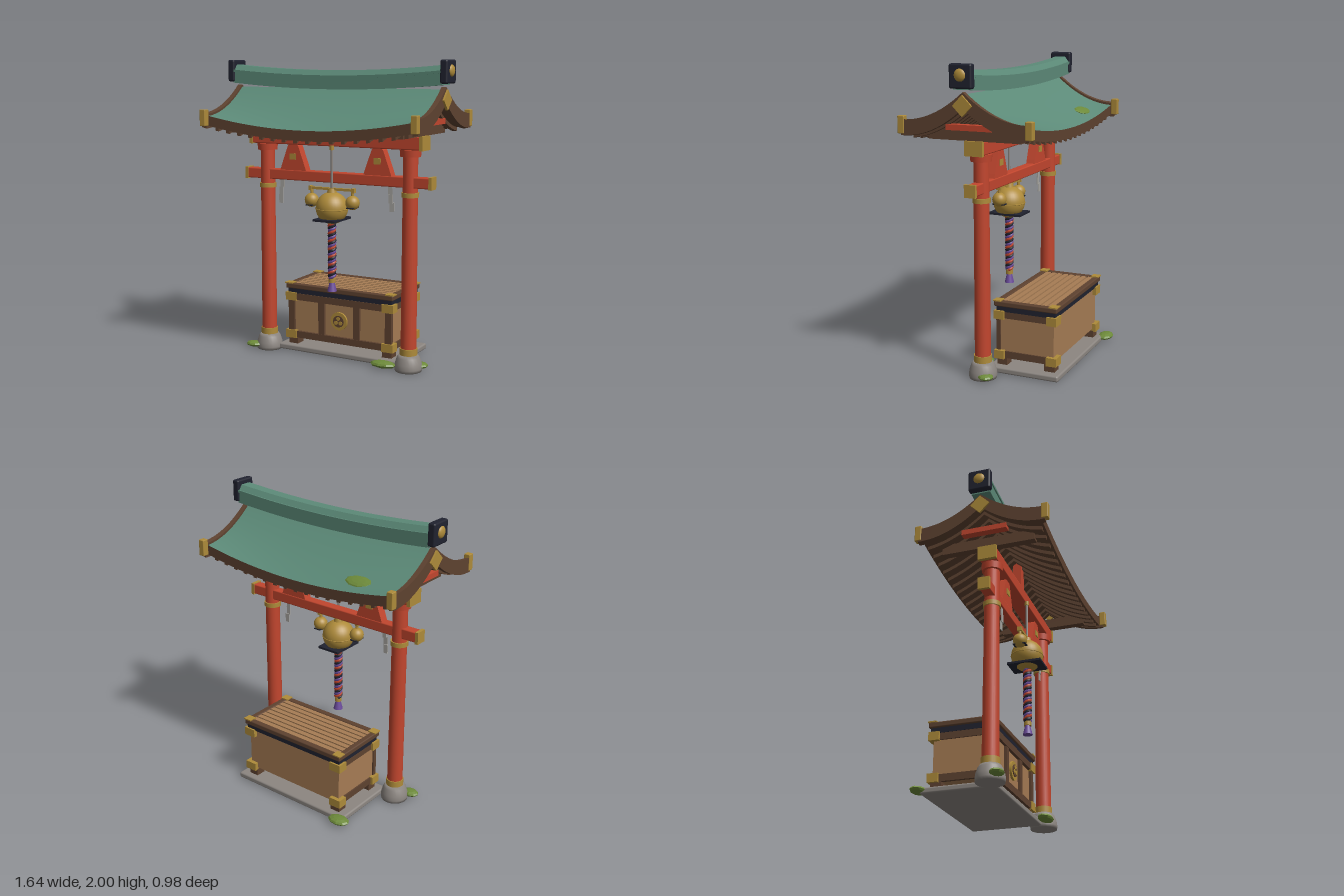
import * as THREE from 'three';
import { RoundedBoxGeometry } from 'three/addons/geometries/RoundedBoxGeometry.js';

const mat = (name, color) => {
  const m = new THREE.MeshStandardMaterial({ color });
  m.name = name;
  return m;
};

export function createModel() {
  const red = mat('vermilion', 0xc2462e), gold = mat('brass', 0xae8b3a), brown = mat('darkWood', 0x5e4230),
    tan = mat('lightWood', 0xa67c54), green = mat('roofGreen', 0x5c8a78), navy = mat('nearBlack', 0x20222f),
    stone = mat('stone', 0x8c8681), moss = mat('moss', 0x6d8a3a), purple = mat('purple', 0x6a4a9a),
    paper = mat('paper', 0xa9a7a2);
  moss.flatShading = true;

  const root = new THREE.Group();
  root.name = 'shrineGate';
  const Z = 0.05; // depth of the posts and ridge

  const group = (name, parent = root) => {
    const g = new THREE.Group();
    g.name = name;
    parent.add(g);
    return g;
  };
  const add = (parent, name, geo, material, x = 0, y = 0, z = 0) => {
    const m = new THREE.Mesh(geo, material);
    m.name = name;
    m.position.set(x, y, z);
    parent.add(m);
    return m;
  };
  const box = (parent, name, material, w, h, d, x, y, z) =>
    add(parent, name, new THREE.BoxGeometry(w, h, d), material, x, y, z);
  const soft = (parent, name, material, w, h, d, x, y, z, r = 0.008) =>
    add(parent, name, new RoundedBoxGeometry(w, h, d, 2, r), material, x, y, z);
  const cyl = (parent, name, material, rt, rb, h, x, y, z) =>
    add(parent, name, new THREE.CylinderGeometry(rt, rb, h, 24), material, x, y, z);

  // Posts with collars, rings and stone feet
  const footProfile = [[0, 0], [0.088, 0], [0.092, 0.02], [0.088, 0.05], [0.075, 0.09], [0.062, 0.108], [0, 0.108]]
    .map(p => new THREE.Vector2(...p));
  for (const s of [-1, 1]) {
    const g = group(s > 0 ? 'leftPost' : 'rightPost');
    g.position.set(s * 0.535, 0, Z);
    add(g, 'stoneFoot', new THREE.LatheGeometry(footProfile, 24), stone);
    cyl(g, 'shaft', red, 0.048, 0.052, 1.34, 0, 0.77, 0);
    cyl(g, 'bottomRing', gold, 0.058, 0.058, 0.045, 0, 0.128, 0);
    cyl(g, 'upperRing', gold, 0.057, 0.057, 0.03, 0, 1.155, 0);
    cyl(g, 'capital', red, 0.07, 0.066, 0.045, 0, 1.42, 0);
  }

  // Tie beam, top beam and their metal ends
  const beams = group('beams');
  soft(beams, 'tieBeam', red, 1.36, 0.07, 0.066, 0, 1.235, Z);
  soft(beams, 'topBeam', red, 1.25, 0.085, 0.11, 0, 1.485, Z);
  for (const s of [-1, 1]) {
    box(beams, 'tieBeamEnd', gold, 0.022, 0.08, 0.076, s * 0.685, 1.235, Z);
    box(beams, 'topBeamEnd', gold, 0.025, 0.092, 0.122, s * 0.63, 1.485, Z);
    box(beams, 'roofTie', brown, 0.05, 0.07, 0.62, s * 0.6, 1.565, Z);
    box(beams, 'gableTie', red, 0.05, 0.035, 0.3, s * 0.68, 1.618, Z);
  }
  box(beams, 'kingPost', red, 0.06, 0.24, 0.06, 0, 1.63, Z);

  // Flared struts between the beams
  const strut = new THREE.Shape([[-0.1, 0], [0.1, 0], [0.09, 0.03], [0.04, 0.165], [0.03, 0.175], [-0.03, 0.175],
    [-0.04, 0.165], [-0.09, 0.03]].map(p => new THREE.Vector2(...p)));
  for (const s of [-1, 1]) {
    add(beams, 'flaredStrut', new THREE.ExtrudeGeometry(strut, { depth: 0.06, bevelEnabled: false }), red, s * 0.315, 1.268, Z - 0.03);
    box(beams, 'strutPlate', gold, 0.05, 0.04, 0.07, s * 0.315, 1.36, Z);
  }

  // Folded paper streamers
  for (const s of [-1, 1]) {
    const g = group('paperStreamer');
    for (let i = 0; i < 3; i++)
      box(g, 'fold', paper, 0.03, 0.06, 0.006, s * (0.405 + 0.006 * i), 1.175 - i * 0.053, Z + 0.02 + 0.006 * (i % 2));
  }

  // Curved roof: a rule bends boxes that run from the ridge out to the eave
  const SPAN = 0.395;
  const surface = (x, d) => {
    const t = d / SPAN;
    return 1.82 - 0.255 * (1.35 * t - 0.35 * t * t) + 0.075 * (x / 0.745) ** 2 * t * t;
  };
  const bent = (w, h, depth, x, y, nx, nz) => {
    const geo = new THREE.BoxGeometry(w, h, depth, nx, 1, nz).translate(x, y, depth / 2);
    const p = geo.attributes.position;
    for (let i = 0; i < p.count; i++) p.setY(i, p.getY(i) + surface(p.getX(i), p.getZ(i)));
    geo.computeVertexNormals();
    return geo;
  };
  const roof = group('roof');
  for (const front of [true, false]) {
    const half = group(front ? 'frontSlope' : 'backSlope', roof);
    half.position.z = Z;
    if (!front) half.rotation.y = Math.PI;
    add(half, 'roofSlab', bent(1.49, 0.065, SPAN, 0, -0.0325, 24, 14), [brown, brown, green, brown, brown, brown]);
    for (let i = -8; i <= 8; i++)
      add(half, 'rafter', bent(0.026, 0.026, 0.38, i * 0.085, -0.076, 1, 8), brown);
    for (const s of [-1, 1]) {
      add(half, 'bargeboard', bent(0.034, 0.095, 0.42, s * 0.753, -0.033, 1, 12), brown);
      soft(half, 'bargeboardCap', gold, 0.042, 0.108, 0.045, s * 0.753, 1.627, 0.42, 0.005);
    }
  }
  for (const s of [-1, 1]) {
    const d = box(roof, 'gableDiamond', gold, 0.016, 0.09, 0.09, s * 0.774, 1.755, Z);
    d.rotation.x = Math.PI / 4;
  }

  // Ridge, sagging gently in the middle
  const ridge = group('ridge');
  const ridgeLayer = (name, w, h, bottom, topScale) => {
    const geo = new THREE.BoxGeometry(1.53, h, w, 24, 1, 1);
    const p = geo.attributes.position;
    for (let i = 0; i < p.count; i++) {
      if (p.getY(i) > 0) p.setZ(i, p.getZ(i) * topScale);
      p.setY(i, p.getY(i) + 0.035 * (p.getX(i) / 0.76) ** 2);
    }
    geo.computeVertexNormals();
    add(ridge, name, geo, green, 0, bottom + h / 2, Z);
  };
  ridgeLayer('ridgeBase', 0.125, 0.075, 1.812, 1);
  ridgeLayer('ridgeLip', 0.142, 0.016, 1.885, 1);
  ridgeLayer('ridgeCap', 0.125, 0.034, 1.9, 0.6);
  for (const s of [-1, 1]) {
    soft(ridge, 'ridgeEnd', navy, 0.05, 0.145, 0.148, s * 0.778, 1.928, Z, 0.012);
    const knob = add(ridge, 'ridgeKnob', new THREE.SphereGeometry(0.038, 20, 12), gold, s * 0.8, 1.935, Z);
    knob.scale.x = 0.5;
  }

  // Bell cluster with hanging rod
  const bell = group('bell');
  bell.position.z = 0.11;
  cyl(bell, 'rodCap', gold, 0.014, 0.014, 0.03, 0, 1.435, 0);
  cyl(bell, 'rod', stone, 0.008, 0.008, 0.26, 0, 1.295, 0);
  box(bell, 'crossbar', gold, 0.32, 0.016, 0.022, 0, 1.165, 0);
  cyl(bell, 'bellNeck', gold, 0.025, 0.035, 0.04, 0, 1.15, 0);
  add(bell, 'largeBell', new THREE.SphereGeometry(0.107, 32, 20), gold, 0, 1.04, 0);
  const seam = add(bell, 'bellSeam', new THREE.TorusGeometry(0.106, 0.004, 6, 32), gold, 0, 1.035, 0);
  seam.rotation.x = Math.PI / 2;
  box(bell, 'bellSlit', navy, 0.165, 0.014, 0.23, 0, 0.966, 0);
  for (const s of [-1, 1]) {
    box(bell, 'crossbarEnd', gold, 0.02, 0.03, 0.03, s * 0.16, 1.163, 0);
    cyl(bell, 'smallBellNeck', gold, 0.01, 0.01, 0.04, s * 0.153, 1.14, 0);
    add(bell, 'smallBell', new THREE.SphereGeometry(0.047, 24, 16), gold, s * 0.153, 1.083, 0);
    box(bell, 'smallBellSlit', navy, 0.05, 0.006, 0.085, s * 0.153, 1.052, 0);
  }

  // Twisted rope and tassel
  const rope = group('rope');
  rope.position.z = 0.11;
  [red, purple, navy].forEach((m, k) => {
    const pts = [];
    for (let i = 0; i <= 80; i++) {
      const a = i / 80 * Math.PI * 14 + k * Math.PI * 2 / 3;
      pts.push(new THREE.Vector3(Math.cos(a) * 0.016, 0.945 - 0.375 * i / 80, Math.sin(a) * 0.016));
    }
    add(rope, 'ropeStrand', new THREE.TubeGeometry(new THREE.CatmullRomCurve3(pts), 140, 0.0135, 6), m);
  });
  cyl(rope, 'tasselCollar', gold, 0.024, 0.024, 0.03, 0, 0.555, 0);
  cyl(rope, 'tassel', purple, 0.016, 0.032, 0.065, 0, 0.512, 0);

  // Stone slab and offering box
  const C = -0.185;
  soft(root, 'stoneSlab', stone, 0.91, 0.04, 0.49, 0, 0.025, C, 0.012);
  const chest = group('offeringBox');
  chest.position.z = C;
  box(chest, 'body', tan, 0.77, 0.3, 0.38, 0, 0.255, 0);
  box(chest, 'darkBand', navy, 0.795, 0.036, 0.41, 0, 0.422, 0);
  for (const y of [0.383, 0.115]) {
    box(chest, 'frontRail', brown, 0.79, 0.046, 0.03, 0, y, 0.195);
    for (const s of [-1, 1]) {
      box(chest, 'sideRail', brown, 0.02, 0.046, 0.37, s * 0.385, y, 0);
      for (const q of [-1, 1]) box(chest, 'cornerBracket', gold, 0.085, 0.056, 0.07, s * 0.37, y, q * 0.182);
    }
  }
  for (const x of [-0.372, -0.135, 0.135, 0.372]) box(chest, 'frontStile', brown, 0.046, 0.23, 0.028, x, 0.25, 0.193);
  for (const s of [-1, 1]) {
    for (const q of [-1, 1]) {
      box(chest, 'foot', brown, 0.07, 0.05, 0.07, s * 0.36, 0.068, q * 0.165);
      box(chest, 'lidCorner', gold, 0.06, 0.008, 0.055, s * 0.385, 0.477, q * 0.193);
    }
    soft(chest, 'lidLongRail', brown, 0.82, 0.036, 0.04, 0, 0.457, s * 0.198);
    soft(chest, 'lidEndRail', brown, 0.04, 0.036, 0.42, s * 0.39, 0.457, 0);
  }
  for (let i = 0; i < 8; i++) box(chest, 'lidSlat', tan, 0.75, 0.028, 0.034, 0, 0.456, -0.158 + i * 0.0451);

  // Round crest with three dots
  const disc = (name, m, r, h, x, y, z) => { cyl(chest, name, m, r, r, h, x, y, z).rotation.x = Math.PI / 2; };
  disc('crestPlate', gold, 0.062, 0.02, 0, 0.248, 0.195);
  disc('crestCentre', brown, 0.04, 0.008, 0, 0.248, 0.206);
  for (let k = 0; k < 3; k++) {
    const a = Math.PI / 2 + k * Math.PI * 2 / 3;
    disc('crestDot', gold, 0.014, 0.008, Math.cos(a) * 0.02, 0.248 + Math.sin(a) * 0.02, 0.209);
  }

  // Moss clumps on the ground and on the back slope of the roof
  const clump = (x, y, z, rx, ry, rz) => {
    const m = add(root, 'mossClump', new THREE.SphereGeometry(1, 9, 6), moss, x, y, z);
    m.scale.set(rx, ry, rz);
    return m;
  };
  clump(-0.62, 0.033, 0.12, 0.058, 0.02, 0.045);
  clump(0.38, 0.033, 0.11, 0.092, 0.024, 0.05);
  clump(0.6, 0.03, 0.0, 0.05, 0.02, 0.05);
  clump(-0.435, 0.033, -0.44, 0.078, 0.022, 0.052);
  clump(-0.43, surface(-0.43, 0.295), -0.245, 0.102, 0.012, 0.05).rotation.x = -0.4;

  return root;
}
